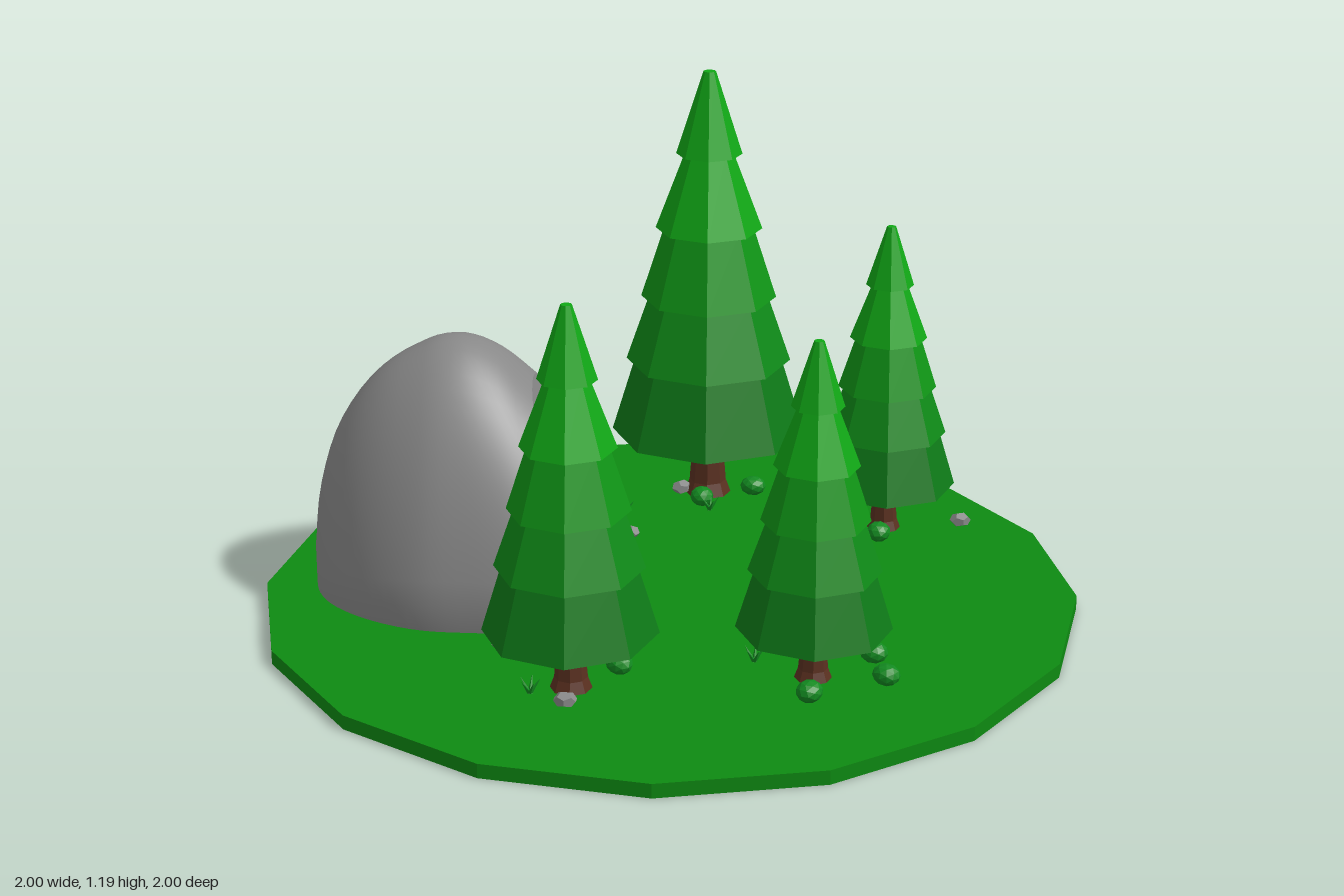
import * as THREE from 'three';

const mat = (name, hex, side = THREE.FrontSide) => {
  const m = new THREE.MeshStandardMaterial({ color: hex, side });
  m.name = name;
  return m;
};

const GROUND = 0.035;

export function createModel() {
  const grass = mat('grass green', 0x0e8a12);
  const leaf = [
    mat('deep needle green', 0x0e7a18),
    mat('needle green', 0x0f8a18),
    mat('mid needle green', 0x109616),
    mat('light needle green', 0x11a816),
  ];
  const bark = mat('bark brown', 0x5a3020);
  const rock = mat('rock grey', 0x888888, THREE.DoubleSide);
  const dark = mat('cave dark', 0x2a2a2c, THREE.DoubleSide);
  const bushGreen = mat('bush green', 0x128a20);

  const model = new THREE.Group();
  model.name = 'forestCave';

  const add = (parent, name, geo, material, x = 0, y = 0, z = 0) => {
    const mesh = new THREE.Mesh(geo, material);
    mesh.name = name;
    mesh.position.set(x, y, z);
    parent.add(mesh);
    return mesh;
  };
  const flat = (geo) => {
    const g = geo.index ? geo.toNonIndexed() : geo;
    g.computeVertexNormals();
    return g;
  };

  // Sixteen-sided ground disc
  add(model, 'ground', flat(new THREE.CylinderGeometry(1, 1, GROUND, 16)), grass, 0, GROUND / 2, 0);

  // Pine trees, drawn one unit tall: [bottom y, top y, bottom radius, top radius, colour]
  const tiers = [
    [0.153, 0.335, 0.22, 0.165, 0],
    [0.326, 0.486, 0.187, 0.132, 1],
    [0.477, 0.648, 0.153, 0.098, 2],
    [0.639, 0.82, 0.12, 0.052, 3],
    [0.812, 1, 0.074, 0.014, 3],
  ];
  const tierGeos = tiers.map(([y0, y1, r0, r1]) =>
    flat(new THREE.CylinderGeometry(r1, r0, y1 - y0, 8)));
  const trunkGeo = flat(new THREE.LatheGeometry(
    [[0.053, 0], [0.042, 0.03], [0.038, 0.08], [0.036, 0.2]].map(([r, y]) => new THREE.Vector2(r, y)), 8));
  for (const [x, z, height] of [
    [-0.53, 0.24, 0.925], [-0.087, 0.58, 0.823], [0.508, -0.4, 1.152], [0.675, 0.087, 0.815],
  ]) {
    const tree = new THREE.Group();
    tree.name = 'pineTree';
    add(tree, 'trunk', trunkGeo, bark);
    tiers.forEach(([y0, y1, , , c], i) => add(tree, 'needleTier', tierGeos[i], leaf[c], 0, (y0 + y1) / 2, 0));
    tree.position.set(x, GROUND, z);
    tree.scale.setScalar(height);
    model.add(tree);
  }

  // Cave, drawn facing +z with the mouth at its origin
  const loft = (rows, flip) => {
    const n = rows[0].length, pos = rows.flat(2), index = [];
    for (let i = 0; i < rows.length - 1; i++) {
      for (let j = 0; j < n - 1; j++) {
        const a = i * n + j, b = a + n;
        if (flip) index.push(a, a + 1, b, b, a + 1, b + 1);
        else index.push(a, b, a + 1, b, b + 1, a + 1);
      }
    }
    const g = new THREE.BufferGeometry();
    g.setAttribute('position', new THREE.Float32BufferAttribute(pos, 3));
    g.setIndex(index);
    g.computeVertexNormals();
    return g;
  };
  const N = 30;
  // Rounded outer arch, slightly tucked in at the foot
  const arch = (z, w, h) => {
    const lean = 0.13 * Math.max(0, 1 + z / 0.4);
    return Array.from({ length: N + 1 }, (_, j) => {
      const a = (j / N) * Math.PI, s = Math.sin(a);
      const tuck = j === 0 || j === N ? 0.95 : 1;
      return [w * Math.cos(a) * (1 - 0.12 * s) * tuck, h * s, z - lean * s];
    });
  };
  // Angular opening outline with a narrow flat top
  const outline = [[1, 0], [0.95, 0.35], [0.36, 1], [-0.36, 1], [-0.95, 0.35], [-1, 0]];
  const opening = (z, w, h) => Array.from({ length: N + 1 }, (_, j) => {
    const t = (j / N) * 5, k = Math.min(4, Math.floor(t)), f = t - k;
    const x = outline[k][0] * (1 - f) + outline[k + 1][0] * f;
    const y = h * (outline[k][1] * (1 - f) + outline[k + 1][1] * f);
    return [w * x, y, z - 0.245 * y];
  });

  const cave = new THREE.Group();
  cave.name = 'cave';
  const spine = new THREE.CatmullRomCurve3([
    [0, 0.335, 0.53], [-0.12, 0.35, 0.6], [-0.25, 0.35, 0.635], [-0.38, 0.34, 0.62],
    [-0.5, 0.29, 0.55], [-0.6, 0.21, 0.42], [-0.655, 0.12, 0.26], [-0.68, 0.001, 0.08],
  ].map((p) => new THREE.Vector3(...p)));
  add(cave, 'rockShell', loft(spine.getPoints(28).map((p) => arch(p.x, p.y, p.z))), rock);
  add(cave, 'rockLip', flat(loft([arch(0, 0.335, 0.53), opening(0, 0.29, 0.475)], true)), rock);
  add(cave, 'mouthFrame', flat(loft([opening(0, 0.29, 0.475), opening(-0.05, 0.205, 0.425)], true)), rock);
  add(cave, 'caveInterior', flat(loft([
    opening(-0.05, 0.205, 0.425), opening(-0.25, 0.22, 0.4), opening(-0.42, 0.14, 0.28), opening(-0.46, 0, 0.15),
  ], true)), dark);
  cave.position.set(-0.1, GROUND, -0.19);
  cave.rotation.y = Math.PI / 4;
  model.add(cave);

  // Small bushes, pebbles and sprigs around the trees and cave feet
  const bushGeo = flat(new THREE.IcosahedronGeometry(0.034, 1));
  const pebbleGeo = flat(new THREE.DodecahedronGeometry(0.028));
  [
    [-0.455, 0.015], [-0.265, 0.015], [0.165, -0.4], [0.72, -0.075], [0.075, 0.62], [-0.18, 0.66],
    [-0.4, 0.26], [-0.46, 0.16], [0.43, -0.34], [0.58, -0.3], [0.6, 0.14], [0.01, 0.72],
  ].forEach(([x, z], i) => {
    const bush = add(model, 'bush', bushGeo, bushGreen, x, GROUND + 0.024, z);
    bush.scale.set(1, 0.75, 0.9);
    bush.rotation.y = i * 1.3;
  });
  [
    [-0.515, -0.025], [0.145, -0.465], [0.145, -0.31], [0.83, 0.215], [0.585, -0.055],
    [-0.03, 0.5], [-0.6, 0.3], [0.45, -0.44], [0.58, -0.48],
  ].forEach(([x, z], i) => {
    const pebble = add(model, 'pebble', pebbleGeo, rock, x, GROUND + 0.014, z);
    pebble.scale.set(1, 0.7, 0.85);
    pebble.rotation.y = i * 0.9;
  });
  const bladeGeo = flat(new THREE.ConeGeometry(0.006, 0.045, 4).translate(0, 0.022, 0));
  for (const [x, z] of [
    [-0.37, 0.045], [-0.25, -0.03], [0.235, -0.43], [0.1, -0.34], [-0.62, 0.2], [-0.13, 0.43], [0.77, 0.0], [0.42, -0.3],
  ]) {
    const sprig = new THREE.Group();
    sprig.name = 'sprig';
    for (let k = 0; k < 5; k++) {
      const blade = add(sprig, 'blade', bladeGeo, bushGreen);
      blade.rotation.set(0, (k * Math.PI * 2) / 5, 0.6);
    }
    sprig.position.set(x, GROUND, z);
    model.add(sprig);
  }

  return model;
}
